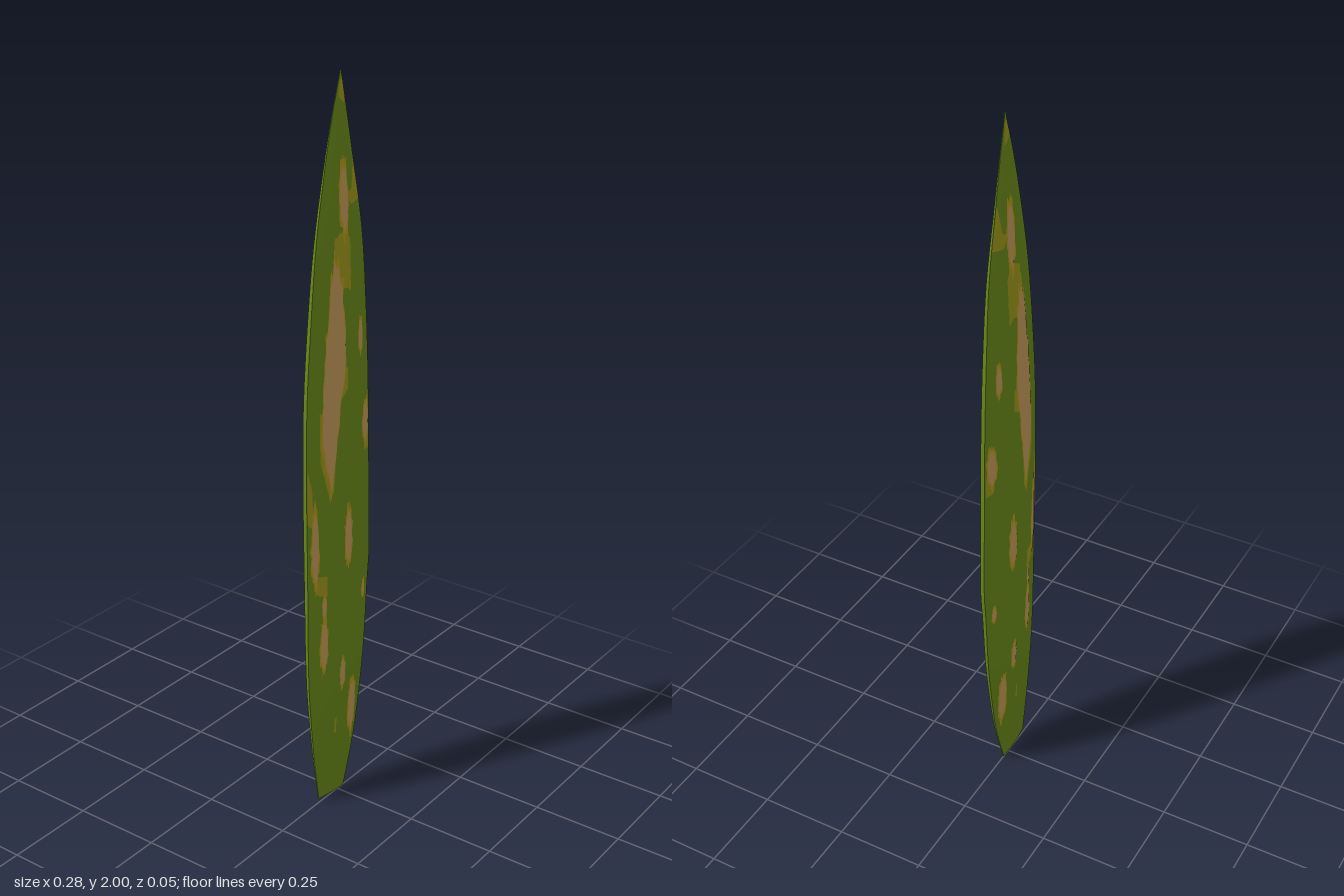
import * as THREE from 'three';

const paint = (name, color) => {
  const m = new THREE.MeshStandardMaterial({ color });
  m.name = name;
  return m;
};

// Smooth curve through [height, value] stations
function profile(points) {
  return (y) => {
    let i = 0;
    while (i < points.length - 2 && y > points[i + 1][0]) i++;
    const at = (k) => points[Math.min(Math.max(k, 0), points.length - 1)];
    const slope = (k) => (at(k + 1)[1] - at(k - 1)[1]) / (at(k + 1)[0] - at(k - 1)[0]);
    const [y0, a] = at(i), [y1, b] = at(i + 1);
    const h = y1 - y0, t = Math.min(Math.max((y - y0) / h, 0), 1);
    const t2 = t * t, t3 = t2 * t;
    return a * (2 * t3 - 3 * t2 + 1) + b * (3 * t2 - 2 * t3)
      + h * (slope(i) * (t3 - 2 * t2 + t) + slope(i + 1) * (t3 - t2));
  };
}
const rightEdge = profile([[0, -0.088], [0.2, -0.115], [0.4, -0.133], [0.7, -0.137], [1, -0.139], [1.2, -0.134],
  [1.4, -0.116], [1.6, -0.09], [1.8, -0.047], [1.9, -0.02], [2, 0.012]]);
const leftEdge = profile([[0, 0.027], [0.1, 0.06], [0.2, 0.085], [0.4, 0.116], [0.6, 0.131], [0.7, 0.139], [1, 0.133],
  [1.2, 0.128], [1.4, 0.117], [1.6, 0.099], [1.8, 0.059], [1.9, 0.038], [2, 0.016]]);
const thickness = profile([[0, 0.004], [0.2, 0.012], [0.4, 0.019], [0.7, 0.025], [1, 0.026], [1.4, 0.024],
  [1.6, 0.017], [1.8, 0.009], [1.9, 0.005], [2, 0.002]]);

// Half thickness of the blade: a lens with a faint midrib
function halfDepth(u, y) {
  const lens = 0.22 + 0.72 * (1 - Math.pow(Math.abs(u), 2.1));
  return thickness(y) * (lens + 0.07 * Math.exp(-((u / 0.06) ** 2)));
}
function bladePoint(u, y, side) {
  const r = rightEdge(y), l = leftEdge(y);
  const slant = Math.max(0, 1 - y / 0.15) * 0.007 * (1 - u);
  return [r + (l - r) * (u + 1) / 2, y + slant, side * halfDepth(u, y)];
}

function surface(fn, nu, nv, flip) {
  const pos = [], idx = [];
  for (let j = 0; j <= nv; j++) for (let i = 0; i <= nu; i++) pos.push(...fn(i / nu, j / nv));
  for (let j = 0; j < nv; j++) for (let i = 0; i < nu; i++) {
    const a = j * (nu + 1) + i, b = a + 1, c = a + nu + 1, d = c + 1;
    if (flip) idx.push(a, d, b, a, c, d);
    else idx.push(a, b, d, a, d, c);
  }
  const g = new THREE.BufferGeometry();
  g.setAttribute('position', new THREE.Float32BufferAttribute(pos, 3));
  g.setIndex(idx);
  g.computeVertexNormals();
  return g;
}

// Thin skin over an outline, draped on one face of the blade
function patch(outline, center, side, lift) {
  const n = outline.length;
  return surface((s, t) => {
    const p = outline[Math.round(s * n) % n];
    const k = Math.max(1 - t, 0.001);
    const y = Math.min(center[1] + (p[1] - center[1]) * k, 1.995);
    const r = rightEdge(y), l = leftEdge(y);
    const x = center[0] + (p[0] - center[0]) * k;
    const u = Math.min(Math.max((x - r) / (l - r) * 2 - 1, -0.99), 0.99);
    return [r + (l - r) * (u + 1) / 2, y, side * (halfDepth(u, y) + lift)];
  }, n, 6, side < 0);
}

function seeded(seed) {
  return () => {
    seed = (seed * 16807) % 2147483647;
    return seed / 2147483647;
  };
}

// Ragged pointed oval
function ragged([cx, cy, rx, ry], scale, rough, seed) {
  const rand = seeded(seed), out = [];
  for (let i = 0; i < 36; i++) {
    const a = i / 36 * Math.PI * 2, c = Math.cos(a);
    const k = scale * (1 + rough * (rand() - 0.5));
    out.push([cx + Math.sign(c) * Math.abs(c) ** 1.25 * rx * k, cy + Math.sin(a) * ry * k]);
  }
  return out;
}

// Dead spots: x, y, half width, half height
const SPOTS = [
  [0.01, 1.69, 0.02, 0.105], [0.077, 1.325, 0.013, 0.052], [0.107, 1.08, 0.02, 0.07],
  [0.017, 0.785, 0.02, 0.092], [0.1, 0.595, 0.01, 0.034], [-0.08, 0.495, 0.017, 0.09],
  [-0.08, 0.61, 0.009, 0.04], [0, 0.38, 0.014, 0.056], [0.052, 0.255, 0.021, 0.098],
  [-0.113, 0.79, 0.015, 0.125],
];
const SCAR = [[-0.03, 1.56], [-0.052, 1.48], [-0.07, 1.35], [-0.084, 1.2], [-0.088, 1.1], [-0.075, 1.0], [-0.055, 0.93],
  [-0.038, 1.02], [-0.02, 1.15], [-0.001, 1.25], [0.002, 1.35], [-0.01, 1.5]];
// Yellowed areas as corner outlines
const YELLOWED = [
  [[-0.035, 1.54], [-0.005, 1.47], [0.03, 1.46], [0.032, 1.58], [0.018, 1.62], [-0.03, 1.6]],
  [[0.02, 1.7], [0.04, 1.67], [0.085, 1.68], [0.075, 1.72], [0.06, 1.79], [0.045, 1.71]],
  [[-0.112, 0.66], [-0.07, 0.64], [-0.07, 0.7], [-0.105, 0.71]],
  [[-0.138, 0.87], [-0.118, 0.85], [-0.122, 0.96], [-0.136, 1.02]],
  [[-0.02, 1.18], [0.012, 1.2], [0.012, 1.26], [-0.005, 1.27]],
  [[-0.095, 1.03], [-0.06, 0.91], [-0.045, 0.94], [-0.033, 1.1], [-0.06, 1.15], [-0.095, 1.16]],
  [[-0.03, 0.2], [-0.022, 0.2], [-0.022, 0.25], [-0.03, 0.24]],
  [[0.0, 1.94], [0.024, 1.92], [0.018, 1.98], [0.008, 1.98]],
  [[0.1, 1.0], [0.128, 1.0], [0.128, 1.06], [0.095, 1.05]],
];
const centroid = (p) => [0, 1].map((k) => p.reduce((s, q) => s + q[k], 0) / p.length);
function densify(points, scale, rough, seed) {
  const rand = seeded(seed), c = centroid(points), out = [];
  points.forEach((p, i) => {
    const q = points[(i + 1) % points.length];
    for (let k = 0; k < 5; k++) {
      const s = scale * (1 + rough * (rand() - 0.5));
      out.push([0, 1].map((d) => c[d] + (p[d] + (q[d] - p[d]) * k / 5 - c[d]) * s));
    }
  });
  return out;
}

export function createModel() {
  const green = paint('leaf green', 0x698a1a);
  const yellow = paint('faded yellow', 0x9f981a);
  const gold = paint('golden fringe', 0xb89c1c);
  const tan = paint('dry tan', 0xc59c5a);
  const leaf = new THREE.Group();
  leaf.name = 'leaf';
  const add = (name, geometry, material, parent = leaf) => {
    const m = new THREE.Mesh(geometry, material);
    m.name = name;
    parent.add(m);
  };

  // Blade faces, side rims and cut base
  for (const side of [1, -1]) {
    add(side > 0 ? 'bladeFront' : 'bladeBack',
      surface((s, t) => bladePoint(s * 2 - 1, t * 2, side), 64, 100, side < 0), green);
    add(side > 0 ? 'leftRim' : 'rightRim', surface((s, t) => {
      const p = bladePoint(side, t * 2, 1);
      return [p[0], p[1], p[2] * (1 - 2 * s) * side];
    }, 1, 100, false), green);
  }
  const endCap = (y, flip) => surface((s, t) => {
    const p = bladePoint(s * 2 - 1, y, 1);
    return [p[0], p[1], p[2] * (1 - 2 * t)];
  }, 32, 1, flip);
  add('cutBase', endCap(0, true), green);
  add('tip', endCap(2, false), green);

  // Blemishes go right through, so both faces carry them
  const layers = [
    { name: 'fringe', material: gold, lift: 0.0009, spotScale: 1, scarScale: 1.04, rough: 0.34 },
    { name: 'deadSpot', material: tan, lift: 0.0014, spotScale: 0.76, scarScale: 0.96, rough: 0.2 },
  ];
  for (const side of [1, -1]) {
    const marks = new THREE.Group();
    marks.name = side > 0 ? 'frontBlemishes' : 'backBlemishes';
    leaf.add(marks);
    YELLOWED.forEach((p, i) =>
      add('yellowPatch', patch(densify(p, 1, 0.08, 31 + i), centroid(p), side, 0.0006), yellow, marks));
    for (const { name, material, lift, spotScale, scarScale, rough } of layers) {
      SPOTS.forEach((s, i) => add(name,
        patch(ragged(s, spotScale, rough, 977 * (i + 1)), s, side, lift), material, marks));
      add(name + 'Large',
        patch(densify(SCAR, scarScale, rough * 0.5, 4409), centroid(SCAR), side, lift), material, marks);
    }
  }
  return leaf;
}
